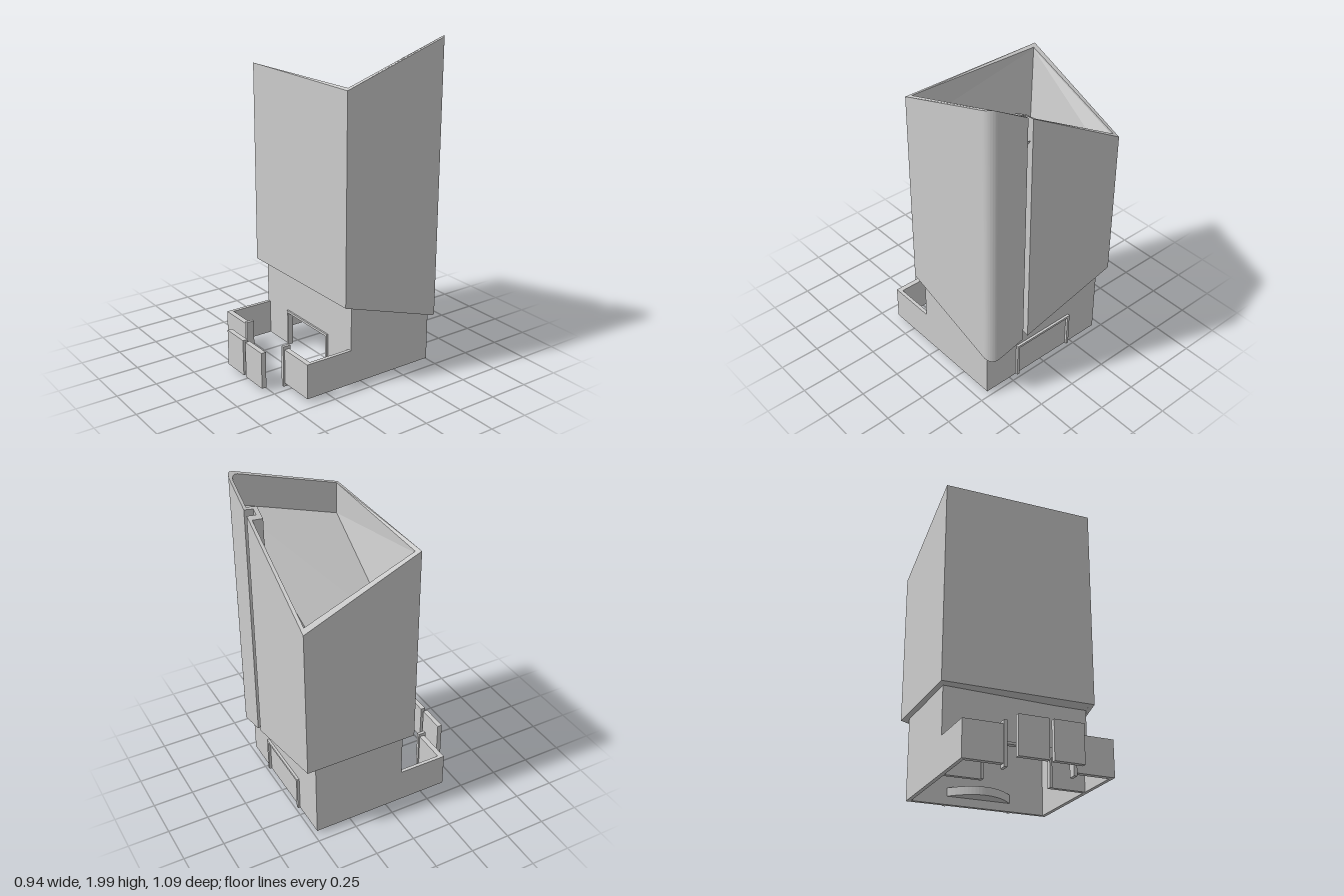
import * as THREE from 'three';
import { toCreasedNormals } from 'three/addons/utils/BufferGeometryUtils.js';

const mat = new THREE.MeshStandardMaterial({ color: 0xcccccc });
const thinMat = new THREE.MeshStandardMaterial({ color: 0xcccccc, side: THREE.DoubleSide, flatShading: true });

function add(parent, name, geo, material = mat) {
  const m = new THREE.Mesh(geo, material);
  m.name = name;
  parent.add(m);
  return m;
}

// box given by its limits
function box(parent, name, x0, x1, y0, y1, z0, z1) {
  const g = new THREE.BoxGeometry(x1 - x0, y1 - y0, z1 - z0);
  g.translate((x0 + x1) / 2, (y0 + y1) / 2, (z0 + z1) / 2);
  return add(parent, name, g);
}

// plan outline (shape y = -z) with one rounded back corner and a stepped slot in the back wall
function outline(path, x0, x1, front, back, r, s0, s1, slotZ) {
  path.moveTo(x0, -front);
  path.lineTo(x1, -front);
  path.lineTo(x1, -back - r);
  path.absarc(x1 - r, -back - r, r, 0, Math.PI / 2, false);
  path.lineTo(s1, -back);
  path.lineTo(s1, -slotZ);
  path.lineTo(s0, -slotZ);
  path.lineTo(s0, -back);
  path.lineTo(x0, -back);
  path.closePath();
  return path;
}

// heights of the slanted rim and the slanted lower edge
const depthAt = z => (0.155 - z) / 0.7;
const topY = (x, z) => 1.77 + depthAt(z) * (Math.min(2, 1.465 + (x + 0.47) * 0.585) - 1.77);
const bottomY = (x, z) => 0.525 - depthAt(z) * 0.23 * (x + 0.47) / 0.935;

// extrude a plan shape between the two slanted edges
function slantedPrism(shape, f1) {
  const g = new THREE.ExtrudeGeometry(shape, { depth: 1, bevelEnabled: false, curveSegments: 12 });
  g.rotateX(-Math.PI / 2);
  const p = g.attributes.position;
  for (let i = 0; i < p.count; i++) {
    const x = p.getX(i), z = p.getZ(i);
    p.setY(i, THREE.MathUtils.lerp(bottomY(x, z), topY(x, z), p.getY(i) * f1));
  }
  return toCreasedNormals(g, 0.5);
}

const outerShape = () => outline(new THREE.Shape(), -0.47, 0.465, 0.155, -0.545, 0.065, 0.185, 0.22, -0.49);

function rectHole(x0, x1, y0, y1) {
  const h = new THREE.Path();
  h.moveTo(x0, y0);
  h.lineTo(x0, y1);
  h.lineTo(x1, y1);
  h.lineTo(x1, y0);
  h.closePath();
  return h;
}

// upside-down U in the front plane
function arch(w, h, iw, ih, depth, z) {
  const s = new THREE.Shape();
  [[-w, 0.02], [-iw, 0.02], [-iw, ih], [iw, ih], [iw, 0.02], [w, 0.02], [w, h], [-w, h]]
    .forEach(([x, y], i) => (i ? s.lineTo(x, y) : s.moveTo(x, y)));
  return new THREE.ExtrudeGeometry(s, { depth, bevelEnabled: false }).translate(0, 0, z);
}

export function createModel() {
  const model = new THREE.Group();
  model.name = 'hopperDispenser';

  // hopper shell
  const shell = outerShape();
  shell.holes.push(outline(new THREE.Path(), -0.44, 0.438, 0.132, -0.526, 0.05, 0.158, 0.235, -0.462));
  add(model, 'hopperShell', slantedPrism(shell, 1));

  // ledge closing the gap between shell and base
  const ledge = outerShape();
  ledge.holes.push(rectHole(-0.42, 0.415, -0.08, 0.46));
  add(model, 'shellLedge', slantedPrism(ledge, 0.02));

  // sloping hopper floor
  const A = [-0.44, 1.75, 0.132], B = [-0.44, 1.475, -0.526];
  const P = [-0.35, 1.25, 0.05], Q = [-0.385, 1.40, -0.47];
  const R = [0.438, 1.58, 0.132], S = [0.438, 1.80, -0.526];
  const floor = new THREE.BufferGeometry();
  floor.setAttribute('position', new THREE.Float32BufferAttribute(
    [P, R, S, P, S, Q, A, P, Q, A, Q, B, A, R, P, B, Q, S].flat(), 3));
  floor.computeVertexNormals();
  add(model, 'hopperFloor', floor, thinMat);

  // base walls
  const base = new THREE.Group();
  base.name = 'base';
  model.add(base);
  add(base, 'frontWall', arch(0.439, 0.6, 0.2, 0.235, 0.025, 0.07));
  add(base, 'frontOpeningFrame', arch(0.212, 0.25, 0.197, 0.235, 0.035, 0.07));
  box(base, 'backWall', -0.439, 0.437, 0.02, 0.6, -0.48, -0.455);
  add(base, 'backFrame', arch(0.212, 0.25, 0.195, 0.235, 0.016, -0.495));

  // curved shelf inside the back wall
  const shelf = new THREE.Shape();
  shelf.moveTo(-0.2, 0);
  shelf.quadraticCurveTo(0, -0.22, 0.2, 0);
  shelf.closePath();
  const shelfGeo = new THREE.ExtrudeGeometry(shelf, { depth: 0.05, bevelEnabled: false, curveSegments: 20 });
  add(base, 'curvedShelf', shelfGeo.rotateX(-Math.PI / 2).translate(0, 0.07, -0.457));

  // mirrored side walls, tray walls, posts and loose door panels
  for (const s of [-1, 1]) {
    const side = s < 0 ? 'right' : 'left';
    const mirrored = (name, a, b, ...rest) =>
      box(base, side + name, Math.min(s * a, s * b), Math.max(s * a, s * b), ...rest);
    mirrored('SideWall', 0.415, 0.439, 0.02, 0.6, -0.48, 0.095);
    mirrored('TraySide', 0.417, 0.439, 0.02, 0.235, 0.09, 0.4);
    mirrored('TrayFront', 0.2, 0.439, 0.02, 0.235, 0.368, 0.4);
    mirrored('Post', 0.19, 0.209, 0, 0.255, 0.36, 0.41);
    mirrored('DoorPanel', 0.013, 0.188, 0.02, 0.245, 0.515, 0.545);
  }
  return model;
}
